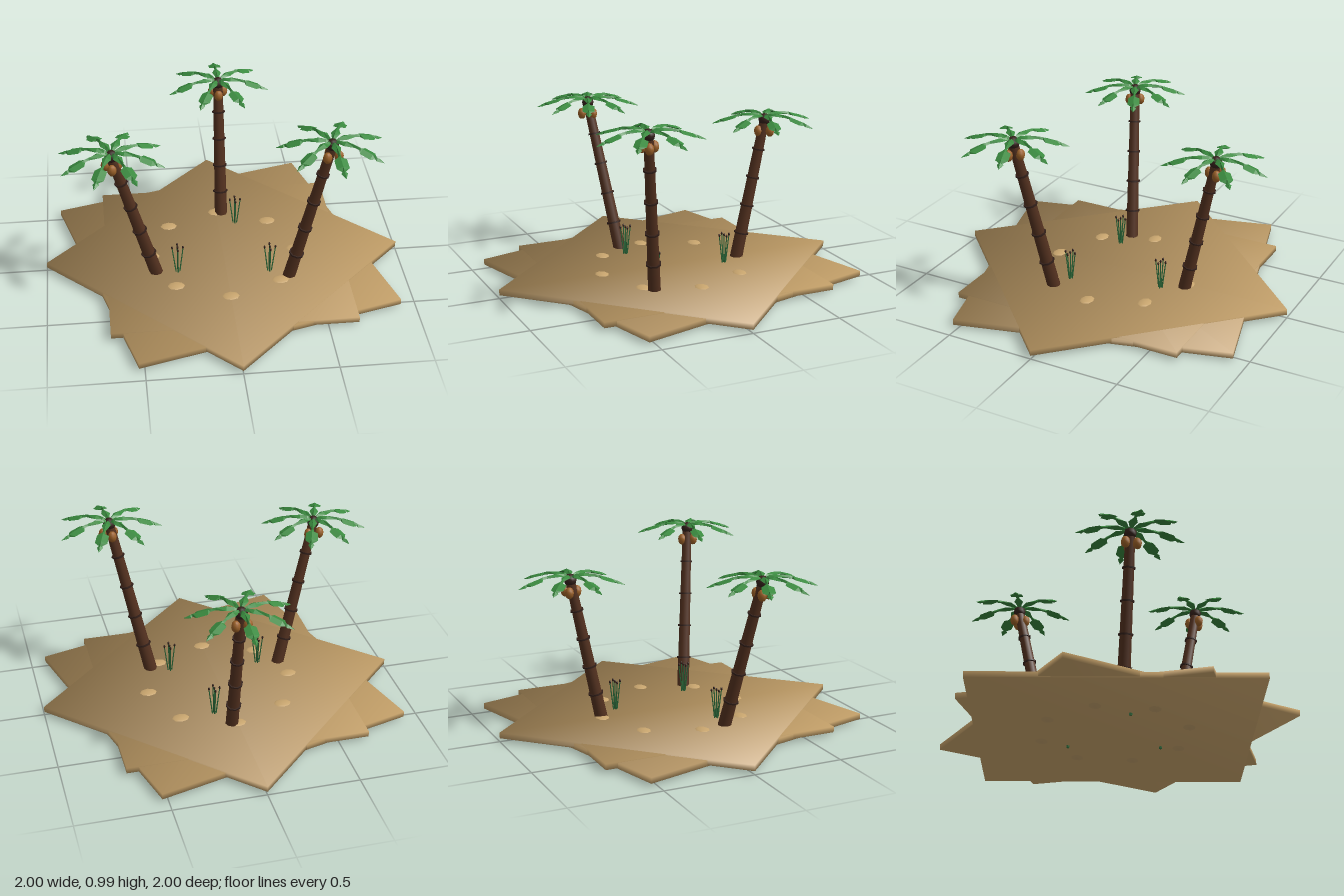
import * as THREE from 'three';

const mat = (name, color, extra = {}) => {
  const m = new THREE.MeshStandardMaterial({ color, ...extra });
  m.name = name;
  return m;
};
const sand = mat('sand', 0xbf9c66);
const pebble = mat('paleSand', 0xc8a56e);
const bark = mat('bark', 0x53311f);
const darkBark = mat('darkBark', 0x33201a);
const leaf = mat('leafGreen', 0x3a8a3f, { side: THREE.DoubleSide, flatShading: true });
const stem = mat('grassGreen', 0x2d6a3a);
const nut = mat('coconutBrown', 0x9c6128);

const add = (parent, name, geometry, material, x = 0, y = 0, z = 0) => {
  const mesh = new THREE.Mesh(geometry, material);
  mesh.name = name;
  mesh.position.set(x, y, z);
  parent.add(mesh);
  return mesh;
};

// Tapered rod running from point a to point b
const UP = new THREE.Vector3(0, 1, 0);
function rod(parent, name, a, b, ra, rb, sides, material) {
  const d = b.clone().sub(a);
  const mesh = add(parent, name, new THREE.CylinderGeometry(rb, ra, d.length(), sides), material);
  mesh.position.copy(a).add(b).multiplyScalar(0.5);
  mesh.quaternion.setFromUnitVectors(UP, d.normalize());
  return mesh;
}

// Square slab whose normals are smoothed right through its corners
function softSlab(half, height) {
  const g = new THREE.BoxGeometry(half * 2, height, half * 2);
  const p = g.attributes.position;
  const k = 1 / Math.sqrt(3);
  for (let i = 0; i < p.count; i++) {
    g.attributes.normal.setXYZ(i, Math.sign(p.getX(i)) * k, Math.sign(p.getY(i)) * k, Math.sign(p.getZ(i)) * k);
  }
  return g;
}

// Frond along +x: stations of [distance, half width, height], each a diamond section
const STATIONS = [
  [0, 0.008, 0], [0.035, 0.012, 0.018], [0.075, 0.025, 0.022], [0.13, 0.007, 0.016], [0.155, 0.009, 0.011],
  [0.168, 0.033, 0.006], [0.225, 0.034, -0.011], [0.245, 0.009, -0.018], [0.255, 0.017, -0.022], [0.29, 0.001, -0.036],
];
function frondGeometry() {
  const pos = [], idx = [];
  STATIONS.forEach(([x, w, y], i) => {
    const t = Math.min(0.006, w);
    pos.push(x, y - t, w, x, y + t, 0, x, y - t, -w, x, y - t * 1.5, 0);
    if (i === 0) return;
    for (let j = 0; j < 4; j++) {
      const a = (i - 1) * 4 + j, b = (i - 1) * 4 + (j + 1) % 4;
      idx.push(a, a + 4, b, b, a + 4, b + 4);
    }
  });
  const g = new THREE.BufferGeometry();
  g.setAttribute('position', new THREE.Float32BufferAttribute(pos, 3));
  g.setIndex(idx);
  g.computeVertexNormals();
  return g;
}

function palm({ base, top, fronds, turn, nutTurn }, frondGeo) {
  const g = new THREE.Group();
  g.name = 'palmTree';
  const a = new THREE.Vector3(...base), b = new THREE.Vector3(...top);
  const at = t => a.clone().lerp(b, t);
  const radius = t => 0.037 - 0.01 * t;

  // Trunk in stacked lengths, with a thin ring at each joint
  const N = 5;
  for (let i = 0; i < N; i++) {
    rod(g, 'trunkSection', at(i / N), at((i + 1) / N), radius(i / N), radius((i + 1) / N), 8, bark);
    if (i > 0) rod(g, 'trunkRing', at(i / N - 0.005), at(i / N + 0.005), radius(i / N) + 0.008, radius(i / N) + 0.008, 8, darkBark);
  }

  // Crown heart and hanging coconuts
  const crown = new THREE.Group();
  crown.name = 'crown';
  crown.position.copy(b);
  g.add(crown);
  add(crown, 'crownHeart', new THREE.SphereGeometry(0.035, 8, 6), darkBark, 0, 0.008, 0);
  for (let i = 0; i < 3; i++) {
    const t = nutTurn + i * Math.PI * 2 / 3;
    add(crown, 'coconut', new THREE.SphereGeometry(0.025, 8, 6), nut, Math.cos(t) * 0.037, -0.055, -Math.sin(t) * 0.037).scale.y = 1.3;
  }

  // Ring of drooping fronds
  for (let i = 0; i < fronds; i++) {
    add(crown, 'frond', frondGeo, leaf, 0, 0.02, 0).rotation.y = THREE.MathUtils.degToRad(turn) + i * Math.PI * 2 / fronds;
  }
  return g;
}

// Tuft with one upright blade and four leaning ones, each with a dark head
function tuft(x, z) {
  const g = new THREE.Group();
  g.name = 'grassTuft';
  g.position.set(x, 0, z);
  for (const [dx, dz] of [[0, 0], [1, 0], [-1, 0], [0, 1], [0, -1]]) {
    const foot = new THREE.Vector3(dx * 0.004, 0.004, dz * 0.004);
    const tip = new THREE.Vector3(dx * 0.03, 0.21, dz * 0.03);
    rod(g, 'blade', foot, tip, 0.004, 0.003, 5, stem);
    add(g, 'seedHead', new THREE.SphereGeometry(0.006, 6, 4), darkBark, tip.x, tip.y + 0.006, tip.z).scale.y = 1.6;
  }
  return g;
}

export function createModel() {
  const model = new THREE.Group();
  model.name = 'palmIsland';

  // Island from three turned square slabs
  for (const [half, y, deg] of [[0.665, 0.036, 0], [0.707, 0.0385, 45], [0.75, 0.032, 15]]) {
    add(model, 'sandSlab', softSlab(half, 0.032), sand, 0, y, 0).rotation.y = THREE.MathUtils.degToRad(deg);
  }

  // Ring of flat sand mounds
  for (let i = 0; i < 8; i++) {
    const t = i * Math.PI / 4;
    add(model, 'sandMound', new THREE.SphereGeometry(1, 8, 6), pebble, Math.cos(t) * 0.41, 0.036, Math.sin(t) * 0.41).scale.set(0.07, 0.027, 0.055);
  }

  // Palms
  const frondGeo = frondGeometry();
  const palms = [
    { base: [-0.385, 0.03, 0.14], top: [-0.61, 0.875, 0.24], fronds: 8, turn: 25, nutTurn: -1.57 },
    { base: [0.34, 0.03, 0.245], top: [0.53, 0.945, 0.36], fronds: 7, turn: 17, nutTurn: -0.3 },
    { base: [0.03, 0.03, -0.4], top: [0.03, 0.83, -0.57], fronds: 7, turn: 90, nutTurn: -1.57 },
  ];
  for (const p of palms) model.add(palm(p, frondGeo));

  // Grass
  for (const [x, z] of [[-0.27, 0.155], [0.24, 0.2], [0.1, -0.29]]) model.add(tuft(x, z));
  return model;
}
